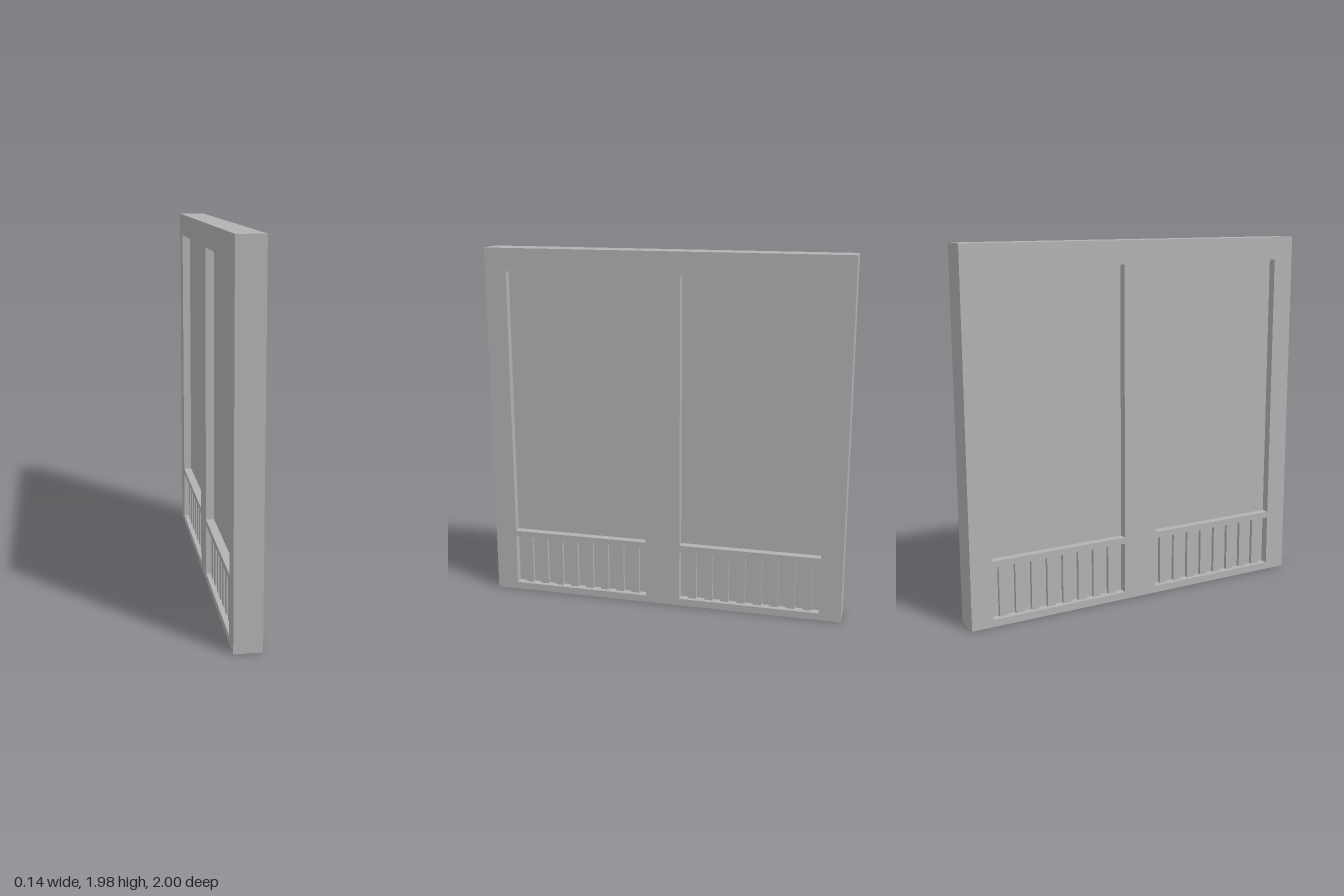
import * as THREE from 'three';

const HEIGHT = 1.98, DEPTH = 0.145;
const PANE = { y0: 0.36, y1: 1.855 };
const GRILLE = { y0: 0.04, y1: 0.325 };
const BAYS = [[0.1, 0.88], [-0.88, -0.095]]; // z range of each opening column
const PANEL_DEPTH = 0.055, SLAT_DEPTH = 0.095, STRIPS = 17;

export function createModel() {
  const group = new THREE.Group();
  const grey = new THREE.MeshStandardMaterial({ color: 0xb2b2b2 });
  grey.name = 'grey';

  const add = (name, geometry) => {
    const mesh = new THREE.Mesh(geometry, grey);
    mesh.name = name;
    group.add(mesh);
    return mesh;
  };
  const block = (name, z0, z1, { y0, y1 }, depth) =>
    add(name, new THREE.BoxGeometry(depth, y1 - y0, z1 - z0))
      .position.set(0, (y0 + y1) / 2, (z0 + z1) / 2);
  const rectangle = (target, z0, z1, y0, y1) => {
    target.moveTo(z0, y0);
    target.lineTo(z1, y0);
    target.lineTo(z1, y1);
    target.lineTo(z0, y1);
    target.closePath();
    return target;
  };

  // Frame with two tall openings and two low grille openings
  const outline = rectangle(new THREE.Shape(), -1, 1, 0, HEIGHT);
  for (const [z0, z1] of BAYS) {
    for (const { y0, y1 } of [PANE, GRILLE]) {
      outline.holes.push(rectangle(new THREE.Path(), z0, z1, y0, y1));
    }
  }
  const frame = new THREE.ExtrudeGeometry(outline, { depth: DEPTH, bevelEnabled: false });
  frame.translate(0, 0, -DEPTH / 2).rotateY(-Math.PI / 2);
  add('frame', frame);

  // Recessed panes, grille backs and upright slats
  for (const [z0, z1] of BAYS) {
    block('pane', z0, z1, PANE, PANEL_DEPTH);
    block('grilleBack', z0, z1, GRILLE, PANEL_DEPTH);
    const step = (z1 - z0) / STRIPS;
    for (let i = 1; i < STRIPS; i += 2) {
      block('grilleSlat', z0 + i * step, z0 + (i + 1) * step, GRILLE, SLAT_DEPTH);
    }
  }
  return group;
}
